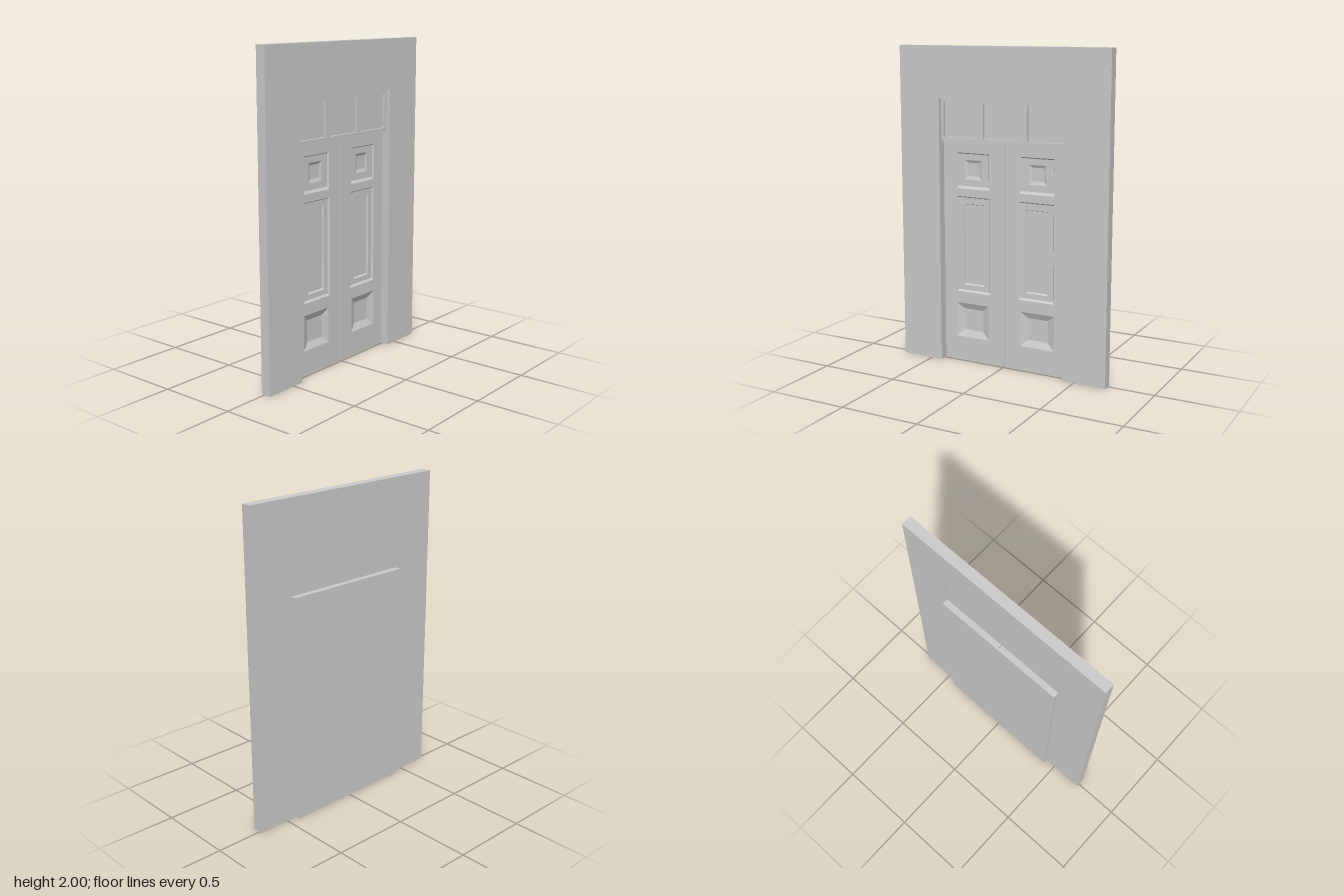
import * as THREE from 'three';

const material = new THREE.MeshStandardMaterial({ color: 0xcccccc });

function add(parent, name, geometry) {
  const mesh = new THREE.Mesh(geometry, material);
  mesh.name = name;
  parent.add(mesh);
  return mesh;
}

// Corners of a rectangle, counter-clockwise
const corners = ([x0, x1, y0, y1]) => [[x0, y0], [x1, y0], [x1, y1], [x0, y1]];
const points = (rect) => corners(rect).map(([x, y]) => new THREE.Vector2(x, y));

function shapeWithHoles(rect, holes) {
  const shape = new THREE.Shape(points(rect));
  for (const hole of holes) shape.holes.push(new THREE.Path(points(hole).reverse()));
  return shape;
}

// Joins rectangles [x0, x1, y0, y1, z] in order, optionally closing the last one
function loft(rings, { cap = true, flip = false } = {}) {
  const pos = [];
  const quad = (a, b, c, d) => {
    const order = flip ? [a, c, b, a, d, c] : [a, b, c, a, c, d];
    for (const p of order) pos.push(...p);
  };
  const loops = rings.map((r) => corners(r).map(([x, y]) => [x, y, r[4]]));
  for (let k = 0; k + 1 < loops.length; k++) {
    for (let i = 0; i < 4; i++) {
      const j = (i + 1) % 4;
      quad(loops[k][i], loops[k][j], loops[k + 1][j], loops[k + 1][i]);
    }
  }
  if (cap) quad(...loops[loops.length - 1]);
  const geometry = new THREE.BufferGeometry();
  geometry.setAttribute('position', new THREE.Float32BufferAttribute(pos, 3));
  geometry.computeVertexNormals();
  return geometry;
}

const HALF = 0.427; // half width of the opening
const DOOR_TOP = 1.43;
const FACE = -0.01; // front of the door leaves
const PLATE = -0.036; // front of the backing plate

// Recessed panels of the +x leaf, each a series of inward steps
const panels = {
  upperPanel: [
    [0.105, 0.335, 1.12, 1.345, FACE],
    [0.113, 0.33, 1.136, 1.338, FACE - 0.01],
    [0.163, 0.28, 1.178, 1.3, FACE - 0.01],
    [0.183, 0.262, 1.2, 1.283, FACE - 0.018],
  ],
  middlePanel: [
    [0.1, 0.337, 0.455, 1.07, FACE],
    [0.109, 0.33, 0.467, 1.063, FACE - 0.01],
    [0.146, 0.293, 0.5, 1.022, FACE - 0.01],
    [0.151, 0.289, 0.508, 1.018, FACE - 0.02],
  ],
  lowerPanel: [
    [0.113, 0.343, 0.157, 0.38, FACE],
    [0.16, 0.295, 0.2, 0.34, FACE - 0.018],
  ],
};

// Mirrors a rectangle to the -x side while keeping its corner order
const mirror = ([x0, x1, ...rest]) => [-x1, -x0, ...rest];

function createLeaf(side) {
  const place = (r) => (side > 0 ? r : mirror(r));
  const leaf = new THREE.Group();
  leaf.name = side > 0 ? 'leftDoorLeaf' : 'rightDoorLeaf';
  const outline = place([0.003, HALF, 0, DOOR_TOP]);
  const holes = Object.values(panels).map((rings) => place(rings[0].slice(0, 4)));
  const face = new THREE.ShapeGeometry(shapeWithHoles(outline, holes));
  face.translate(0, 0, FACE);
  add(leaf, 'leafFace', face);
  add(leaf, 'leafEdges', loft([[...outline, FACE], [...outline, PLATE]], { cap: false, flip: true }));
  for (const [name, rings] of Object.entries(panels)) add(leaf, name, loft(rings.map(place)));
  return leaf;
}

export function createModel() {
  const model = new THREE.Group();
  model.name = 'doorway';

  // Wall with the doorway cut out of its lower edge
  const outline = [
    [-0.707, 0], [-HALF, 0], [-HALF, 1.68], [HALF, 1.68],
    [HALF, 0], [0.707, 0], [0.707, 2], [-0.707, 2],
  ].map(([x, y]) => new THREE.Vector2(x, y));
  const wall = new THREE.ExtrudeGeometry(new THREE.Shape(outline), { depth: 0.063, bevelEnabled: false });
  wall.translate(0, 0, -0.018);
  add(model, 'wall', wall);

  // Transom window: a frame around three panes
  const transom = new THREE.Group();
  transom.name = 'transom';
  const panes = [[-0.41, -0.168], [-0.131, 0.131], [0.168, 0.41]].map(([a, b]) => [a, b, 1.442, 1.66]);
  const frame = new THREE.ExtrudeGeometry(
    shapeWithHoles([-HALF, HALF, 1.417, 1.68], panes),
    { depth: 0.018, bevelEnabled: false },
  );
  add(transom, 'transomFrame', frame);
  add(transom, 'transomPanes', new THREE.BoxGeometry(2 * HALF, 0.263, 0.01)).position.set(0, 1.5485, -0.005);
  model.add(transom);

  // Pair of door leaves on a common backing plate
  model.add(createLeaf(1), createLeaf(-1));
  add(model, 'doorBack', new THREE.BoxGeometry(2 * HALF, DOOR_TOP, PLATE + 0.047))
    .position.set(0, DOOR_TOP / 2, (PLATE - 0.047) / 2);

  return model;
}
